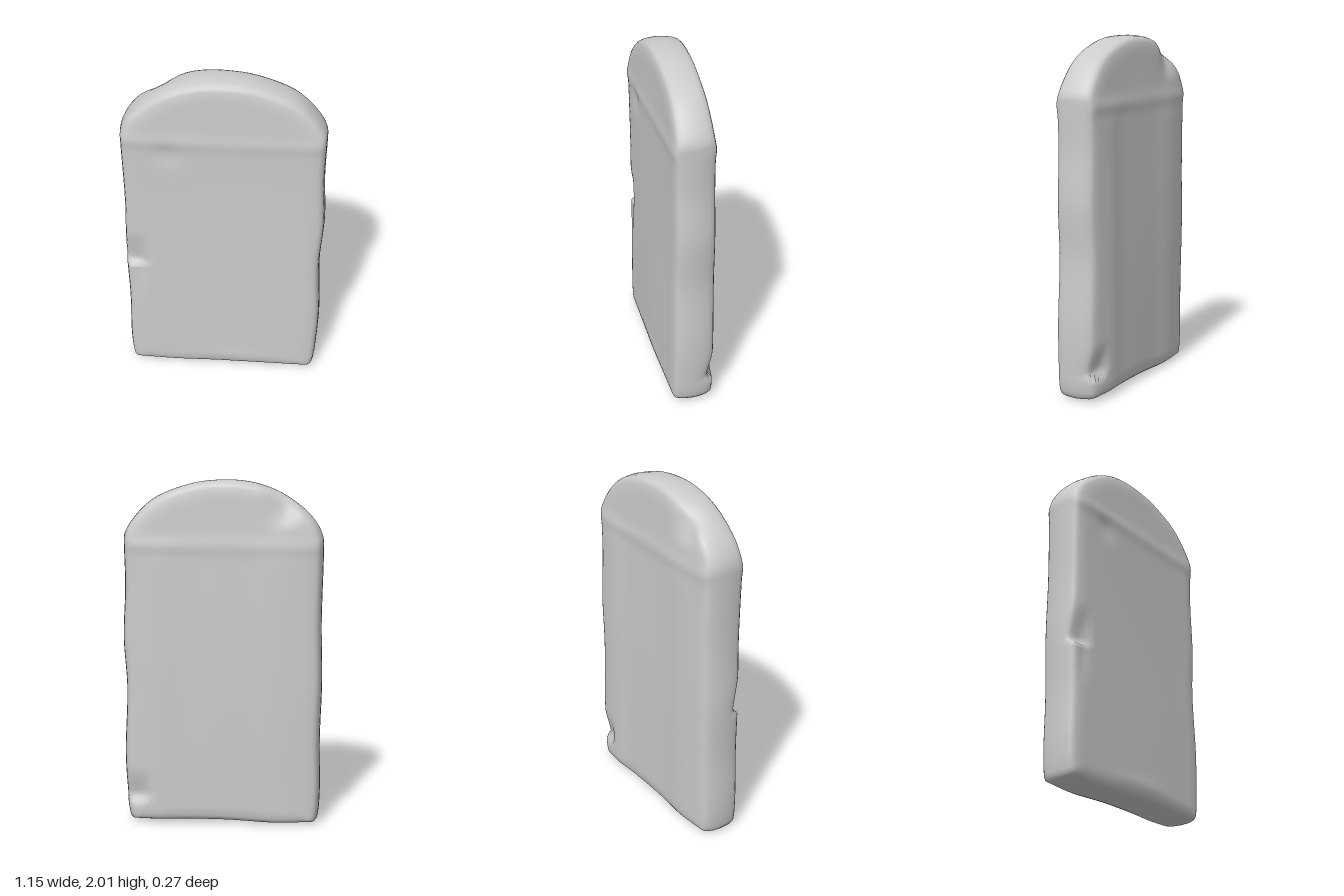
import * as THREE from 'three';

const smooth = THREE.MathUtils.smoothstep;
const bump = (v, c, r) => Math.exp(-(((v - c) / r) ** 2));

// Arched outline, anticlockwise from the front
const OUTLINE = [
  [-0.3, 0], [0, 0.01], [0.3, 0.012], [0.5, 0.012], [0.54, 0.015], [0.555, 0.05], [0.568, 0.2], [0.575, 0.42],
  [0.56, 0.8], [0.576, 1.1], [0.563, 1.4], [0.566, 1.64], [0.563, 1.7], [0.5, 1.8], [0.4, 1.895], [0.25, 1.963],
  [0.1, 1.998], [-0.12, 2], [-0.3, 1.95], [-0.45, 1.855], [-0.535, 1.765], [-0.573, 1.68], [-0.576, 1.6],
  [-0.57, 1.2], [-0.578, 0.85], [-0.57, 0.5], [-0.575, 0.2], [-0.566, 0.05], [-0.555, 0.012], [-0.5, 0.006],
];

// Rounded edge: [inset from outline, z], from side middle to face
const EDGE = [[0, 0], [0.002, 0.04], [0.006, 0.075], [0.014, 0.098], [0.025, 0.11], [0.042, 0.117], [0.07, 0.121]];
const FACE_STEPS = 18;

// Ledge-like chip: the surface sinks down to a sharp step at height y0
function chip(x, y, y0, rise, inner, depth) {
  const across = smooth(x, inner, inner + 0.07);
  const above = smooth(y, y0 - 0.012, y0 + 0.012) * (1 - smooth(y, y0, y0 + rise));
  return depth * across * above;
}

// Worn surface: shifts one point of the clean slab
function weather(p) {
  const { x, y, z } = p;
  const side = THREE.MathUtils.clamp(z / 0.115, -1, 1);
  let cut = 0;
  let swell = 0.005 * Math.sin(4.5 * x + 1.2 * y + 1) + 0.003 * Math.sin(3.1 * y + side);
  swell -= 0.012 * smooth(y, 1.6, 1.95);                   // arch leans back slightly
  swell += 0.006 * bump(y, 1.64, 0.04);                    // faint ridge under the arch
  if (side > 0) {
    cut += chip(-x, y, 0.77, 0.25, 0.42, 0.035);
    cut += 0.01 * bump(x, -0.49, 0.03) * smooth(y, 0.48, 0.72) * (1 - smooth(y, 0.74, 0.78));
    cut += 0.009 * bump(x, -0.31, 0.07) * bump(y, 1.56, 0.07);
    swell += 0.005 * bump(x, 0.05, 0.2) * bump(y, 0.08, 0.06);
  } else {
    cut += chip(x, y, 0.14, 0.2, 0.4, 0.035);
    cut += 0.03 * bump(x, -0.36, 0.09) * smooth(y, 1.72, 1.9); // worn spot on the back of the arch
    swell += 0.01 * (bump(x, -0.33, 0.13) + bump(x, 0.37, 0.1)) * (1 - smooth(y, 1.5, 1.75));
    p.y -= 0.025 * bump(x, -0.36, 0.08) * smooth(y, 1.7, 1.85) * -side;
  }
  p.z += side * (swell - cut);
  // sides pull in a little towards the back
  p.x *= 1 - 0.015 * smooth(-z, 0, 0.12);
  return p;
}

function slabGeometry() {
  const curve = new THREE.CatmullRomCurve3(
    OUTLINE.map(([x, y]) => new THREE.Vector3(x, y, 0)), true, 'centripetal');
  const N = 280;
  const outline = curve.getSpacedPoints(N).slice(0, N);

  // Rings from face centre to outer edge; t is the share of the face covered
  const half = [];
  for (let k = 0; k < FACE_STEPS; k++) half.push({ t: k / FACE_STEPS, inset: 0.07, z: 0.123 });
  for (const [inset, z] of [...EDGE].reverse()) half.push({ t: 1, inset, z });
  const back = half.slice(0, -1).reverse().map((r) => ({ ...r, z: -r.z }));
  const rings = [...half, ...back];

  const positions = [];
  for (const ring of rings) {
    for (const o of outline) {
      const core = new THREE.Vector3(0, THREE.MathUtils.clamp(o.y, 0.45, 1.45), 0);
      const reach = o.distanceTo(core);
      const p = core.clone().lerp(o, ring.t * (1 - ring.inset / reach));
      p.z = ring.z;
      weather(p);
      positions.push(p.x, Math.max(p.y, 0), p.z);
    }
  }
  const index = [];
  for (let j = 0; j < rings.length - 1; j++) {
    for (let i = 0; i < N; i++) {
      const a = j * N + i, b = j * N + ((i + 1) % N);
      index.push(a, a + N, b + N, a, b + N, b);
    }
  }
  const geometry = new THREE.BufferGeometry();
  geometry.setAttribute('position', new THREE.Float32BufferAttribute(positions, 3));
  geometry.setIndex(index);
  geometry.computeVertexNormals();
  return geometry;
}

export function createModel() {
  const group = new THREE.Group();
  group.name = 'headstone';
  const slab = new THREE.Mesh(slabGeometry(), new THREE.MeshStandardMaterial({ color: 0xcccccc }));
  slab.name = 'stoneSlab';
  group.add(slab);
  return group;
}
